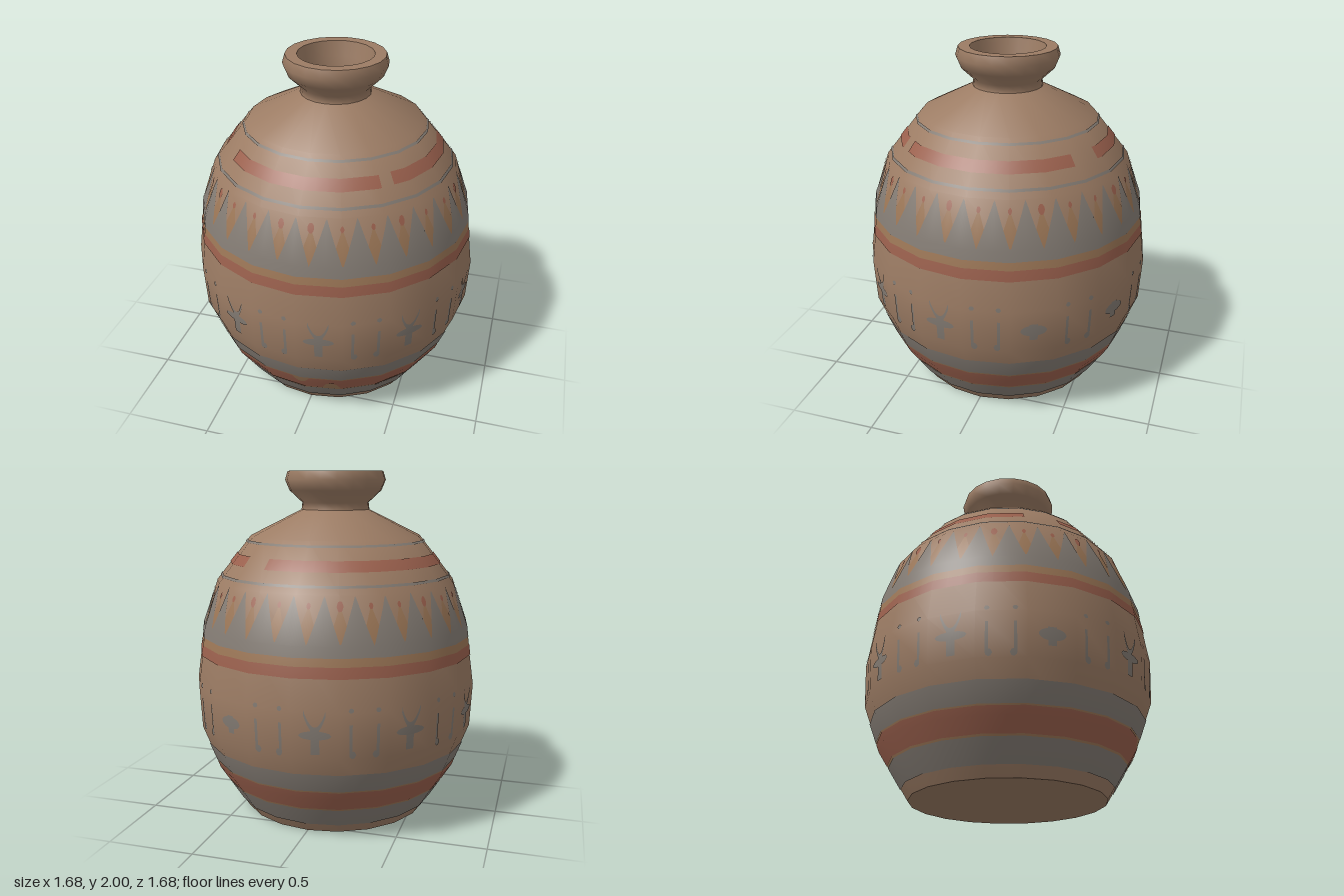
import * as THREE from 'three';
import { mergeGeometries } from 'three/addons/utils/BufferGeometryUtils.js';

const SIDES = 20, FACET = 18, RAD = Math.PI / 180;
const mat = (name, color) => {
  const m = new THREE.MeshStandardMaterial({ color });
  m.name = name;
  return m;
};
const vecs = pts => pts.map(([x, y]) => new THREE.Vector2(x, y));

// Outer belly profile: radius, height
const belly = vecs([[0.555, 0], [0.725, 0.27], [0.825, 0.53], [0.838, 0.78],
  [0.79, 1.12], [0.705, 1.37], [0.5, 1.63], [0.2, 1.78]]);

// Averaged profile normals, so paint shades like the clay beneath it
const segNormals = belly.slice(1).map((p, i) =>
  new THREE.Vector2(p.y - belly[i].y, belly[i].x - p.x).normalize());
const normals = belly.map((_, i) => new THREE.Vector2()
  .add(segNormals[Math.max(i - 1, 0)])
  .add(segNormals[Math.min(i, segNormals.length - 1)]).normalize());

// Paint patch between heights lo(angle) and hi(angle), following the facets
function patch(a0, a1, lo, hi, step = 6, lift = 0.004) {
  const low = typeof lo === 'function' ? lo : () => lo;
  const high = typeof hi === 'function' ? hi : () => hi;
  const cols = [a0];
  for (let k = Math.floor(a0 / step) + 1; k * step < a1 - 1e-6; k++) cols.push(k * step);
  cols.push(a1);
  const pos = [], nor = [];
  const add = (s, a, y) => {
    const t = (y - belly[s].y) / (belly[s + 1].y - belly[s].y);
    const n = normals[s].clone().lerp(normals[s + 1], t).normalize();
    const inFacet = a - Math.floor(a / FACET + 1e-9) * FACET - FACET / 2;
    const shrink = Math.cos(FACET / 2 * RAD) / Math.cos(inFacet * RAD);
    const r = THREE.MathUtils.lerp(belly[s].x, belly[s + 1].x, t) * shrink + n.x * lift;
    const sx = Math.sin(a * RAD), cz = Math.cos(a * RAD);
    pos.push(r * sx, y + n.y * lift, r * cz);
    nor.push(n.x * sx, n.y, n.x * cz);
  };
  for (let s = 0; s < belly.length - 1; s++) {
    const clip = y => THREE.MathUtils.clamp(y, belly[s].y, belly[s + 1].y);
    for (let i = 0; i < cols.length - 1; i++) {
      const a = cols[i], b = cols[i + 1];
      const al = clip(low(a)), ah = clip(high(a)), bl = clip(low(b)), bh = clip(high(b));
      if (ah - al < 1e-6 && bh - bl < 1e-6) continue;
      add(s, a, al); add(s, b, bl); add(s, b, bh);
      add(s, a, al); add(s, b, bh); add(s, a, ah);
    }
  }
  const g = new THREE.BufferGeometry();
  g.setAttribute('position', new THREE.Float32BufferAttribute(pos, 3));
  g.setAttribute('normal', new THREE.Float32BufferAttribute(nor, 3));
  return g;
}
const ring = (lo, hi, step, lift) => patch(0, 360, lo, hi, step, lift);
function dot(a, y, w, h) {
  const half = p => h * Math.sqrt(Math.max(0, 1 - ((p - a) / w) ** 2));
  return patch(a - w, a + w, p => y - half(p), p => y + half(p), 0.6);
}

export function createModel() {
  const group = new THREE.Group();
  group.name = 'paintedJar';
  const clay = mat('brown clay', 0x9c7c64);
  const red = mat('red paint', 0x9a604d);
  const grey = mat('grey paint', 0x837b73);
  const tan = mat('tan slip', 0x9b7656);
  const add = (name, geo, material) => {
    const m = new THREE.Mesh(geo, material);
    m.name = name;
    group.add(m);
  };
  const lathe = (name, pts) => add(name, new THREE.LatheGeometry(vecs(pts), SIDES), clay);
  const paint = (name, list, material) => add(name, mergeGeometries(list), material);

  // Clay jar: outside, lip, hollow inside and base
  add('belly', new THREE.LatheGeometry(belly, SIDES), clay);
  lathe('neck', [[0.2, 1.78], [0.195, 1.82], [0.27, 1.89], [0.295, 1.95], [0.28, 2]]);
  lathe('lip', [[0.28, 2], [0.215, 2]]);
  lathe('innerNeck', [[0.215, 2], [0.2, 1.91], [0.185, 1.83], [0.185, 1.77]]);
  lathe('innerWall', [[0.185, 1.77], [0.47, 1.61], [0.67, 1.36], [0.755, 1.11],
    [0.8, 0.78], [0.79, 0.54], [0.69, 0.28], [0.535, 0.03]]);
  lathe('innerFloor', [[0.535, 0.03], [0, 0.03]]);
  lathe('base', [[0, 0], [0.555, 0]]);

  // Lower bands; the red one has two worn chips at the front
  const chip = (p, centre, w, depth) => {
    const d = Math.abs(((p - centre + 540) % 360) - 180) / w;
    return d < 1 ? depth * Math.sqrt(1 - d * d) : 0;
  };
  paint('lowerSlip', [ring(0.175, 0.33, 6, 0.002), ring(1.01, 1.07, 6, 0.002)], tan);
  paint('lowerGreyBands', [ring(0.06, 0.18), ring(0.32, 0.43)], grey);
  paint('redBands', [
    ring(p => 0.19 + chip(p, 13.5, 4, 0.08), p => 0.312 - chip(p, 359.5, 3.5, 0.04), 0.9),
    ring(0.955, 1.015)], red);

  // Toothed band and the red drops between its teeth
  const TEETH = 28, pitch = 360 / TEETH;
  const tooth = p => {
    const f = (p + 1) / pitch;
    return 1.37 - 0.25 * 2 * Math.abs(f - Math.round(f));
  };
  paint('toothedBand', [ring(1.06, tooth, 0.6)], grey);
  paint('toothSlip', [ring(1.1, p => Math.max(1.1, 2.46 - tooth(p) - 0.02), 0.6, 0.002)], tan);
  const drops = [];
  for (let i = 0; i < TEETH; i++)
    drops.push(dot((i + 0.5) * pitch - 1, 1.315, i % 3 ? 0.9 : 1.4, i % 3 ? 0.017 : 0.027));
  paint('redDrops', drops, red);

  // Shoulder: broken red ring between two fine grey lines
  paint('shoulderRing', [[-50, 38], [45, 142], [158.5, 290]]
    .map(([a, b]) => patch(a, b, 1.475, 1.53)), red);
  paint('shoulderLines', [ring(1.4, 1.413), ring(1.594, 1.606)], grey);

  // Frieze: ten horned figures with a pair of strokes after each
  const frieze = [];
  for (let i = 0; i < 10; i++) {
    const a = 9 + 36 * i;
    const plain = i === 3 || i === 4 || i === 8;
    frieze.push(dot(a, 0.66, plain ? 5 : 6, plain ? 0.034 : 0.024));
    frieze.push(patch(a - 1.6, a + 1.6, plain ? 0.6 : 0.555, 0.7, 0.9));
    if (!plain) {
      const horn = p => 0.675 + 0.09 * ((p - a) / 4) ** 2;
      frieze.push(patch(a - 4, a + 4, horn, p => horn(p) + 0.03, 0.6));
    }
    for (const [d, side] of [[13, 1], [23, -1]]) {
      const s = a + d;
      frieze.push(patch(s - 0.55, s + 0.55, 0.55, 0.72, 0.9));
      frieze.push(dot(s + side * 0.7, 0.555, 1.3, 0.02));
      frieze.push(dot(s, 0.795, 1, 0.013));
    }
  }
  paint('frieze', frieze, grey);
  return group;
}
